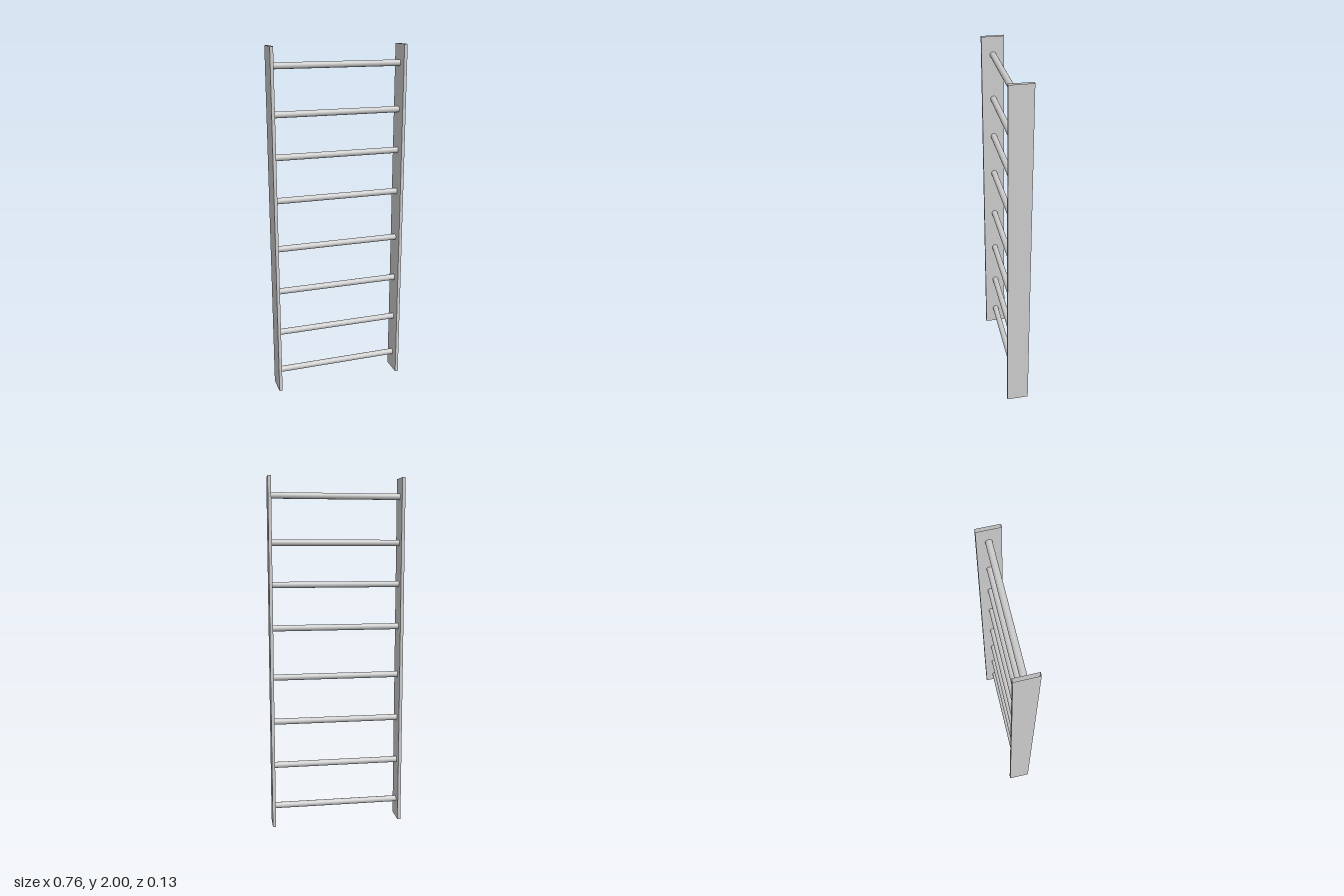
import * as THREE from 'three';

const WIDTH = 0.765, HEIGHT = 2, DEPTH = 0.126, RAIL = 0.018;
const RUNG_RADIUS = 0.0175, RUNG_Z = -0.0015;
const RUNG_HEIGHTS = [0.11, 0.357, 0.617, 0.877, 1.161, 1.406, 1.64, 1.897];

// Hollow rectangular section: a box without its top and bottom faces
function openBox(w, h, d) {
  const geometry = new THREE.BoxGeometry(w, h, d);
  const index = Array.from(geometry.index.array);
  index.splice(12, 12);
  geometry.setIndex(index);
  geometry.clearGroups();
  return geometry;
}

export function createModel() {
  const ladder = new THREE.Group();
  ladder.name = 'ladder';
  const material = new THREE.MeshStandardMaterial({ color: 0xcccccc, side: THREE.DoubleSide });

  // Side rails
  const railGeometry = openBox(RAIL, HEIGHT, DEPTH);
  for (const side of [1, -1]) {
    const rail = new THREE.Mesh(railGeometry, material);
    rail.name = side > 0 ? 'leftRail' : 'rightRail';
    rail.position.set(side * (WIDTH - RAIL) / 2, HEIGHT / 2, 0);
    ladder.add(rail);
  }

  // Round rungs running through to the outer faces of the rails
  const rungGeometry = new THREE.CylinderGeometry(RUNG_RADIUS, RUNG_RADIUS, WIDTH - 0.001, 32, 1, true);
  rungGeometry.rotateZ(Math.PI / 2);
  RUNG_HEIGHTS.forEach((y, i) => {
    const rung = new THREE.Mesh(rungGeometry, material);
    rung.name = `rung${i + 1}`;
    rung.position.set(0, y, RUNG_Z);
    ladder.add(rung);
  });

  return ladder;
}
